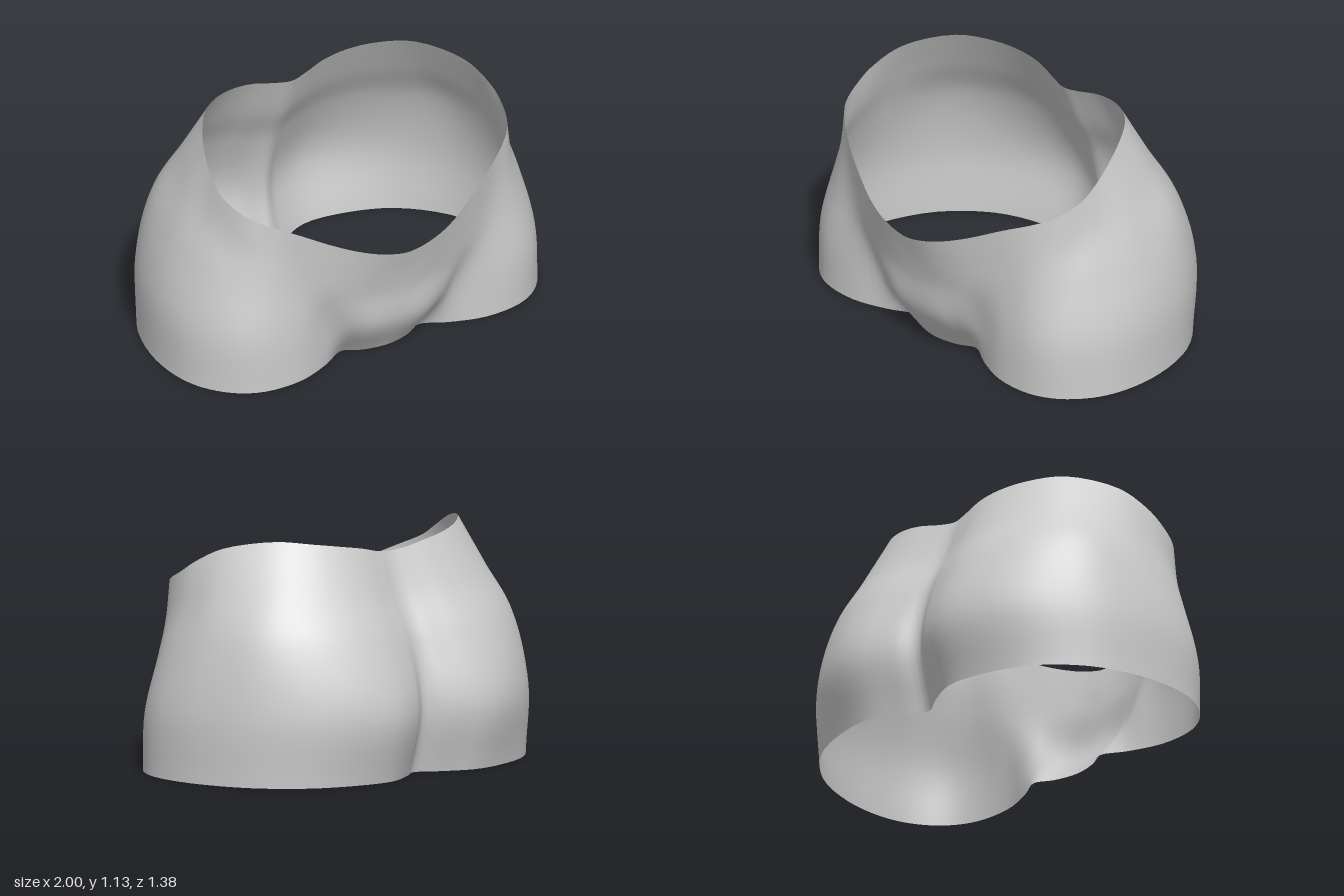
import * as THREE from 'three';

// Each section runs [x, z] from front centre round the left side to back centre.
const hem = [[0, .50], [.13, .475], [.22, .43], [.34, .49], [.52, .55], [.72, .54], [.85, .47], [.95, .34],
  [.995, .18], [.985, -.05], [.89, -.31], [.70, -.51], [.47, -.605], [.27, -.625], [.10, -.55], [0, -.49]];
const thigh = [[0, .605], [.15, .60], [.25, .565], [.355, .525], [.53, .548], [.72, .535], [.84, .47], [.93, .35],
  [.98, .20], [.983, -.02], [.90, -.30], [.72, -.52], [.49, -.655], [.29, -.69], [.10, -.625], [0, -.555]];
const hip = [[0, .63], [.15, .625], [.28, .605], [.39, .575], [.54, .537], [.69, .50], [.79, .43], [.865, .32],
  [.905, .17], [.905, -.02], [.83, -.28], [.67, -.455], [.46, -.56], [.28, -.58], [.10, -.535], [0, -.50]];
const belly = [[0, .655], [.15, .655], [.27, .635], [.385, .60], [.54, .54], [.685, .475], [.765, .40], [.815, .29],
  [.835, .17], [.825, .00], [.71, -.235], [.565, -.37], [.39, -.445], [.24, -.455], [.10, -.425], [0, -.40]];
const waist = [[0, .69], [.14, .69], [.26, .665], [.38, .62], [.54, .55], [.68, .46], [.75, .39], [.79, .27],
  [.785, .18], [.74, .04], [.60, -.17], [.46, -.285], [.32, -.34], [.20, -.35], [.09, -.335], [0, -.32]];
// Height of the waist edge above each section point
const rimHeight = [.61, .64, .68, .73, .81, .87, .91, .965, 1.02, 1.09, 1.13, 1.115, 1.095, 1.075, 1.05, 1.04];

const AROUND = 120, UP = 28;

// Mirrors half a section into a smooth closed loop at a fraction of the rim height.
function sectionLoop(half, level) {
  const left = half.map(([x, z], i) => new THREE.Vector3(x, rimHeight[i] * level, z));
  const right = left.slice(1, -1).reverse().map(p => new THREE.Vector3(-p.x, p.y, p.z));
  const curve = new THREE.CatmullRomCurve3([...left, ...right], true);
  return Array.from({ length: AROUND }, (_, i) => curve.getPoint(i / AROUND));
}

function shellGeometry() {
  const loops = [sectionLoop(hem, 0), sectionLoop(thigh, .3), sectionLoop(hip, .6),
    sectionLoop(belly, .8), sectionLoop(waist, 1)];
  const columns = Array.from({ length: AROUND }, (_, i) =>
    new THREE.CatmullRomCurve3(loops.map(loop => loop[i])).getPoints(UP));

  const positions = [], index = [];
  for (let j = 0; j <= UP; j++) {
    for (let i = 0; i < AROUND; i++) {
      const p = columns[i][j];
      positions.push(p.x, Math.max(0, p.y), p.z);
      if (j === UP) continue;
      const next = (i + 1) % AROUND;
      const a = j * AROUND + i, b = j * AROUND + next;
      index.push(a, b, b + AROUND, a, b + AROUND, a + AROUND);
    }
  }
  const geometry = new THREE.BufferGeometry();
  geometry.setAttribute('position', new THREE.Float32BufferAttribute(positions, 3));
  geometry.setIndex(index);
  geometry.computeVertexNormals();
  return geometry;
}

export function createModel() {
  const group = new THREE.Group();
  group.name = 'hipShell';
  // Open-ended shell with a sloping waist and a flat hem
  const material = new THREE.MeshStandardMaterial({ color: 0xcccccc, side: THREE.DoubleSide });
  const shell = new THREE.Mesh(shellGeometry(), material);
  shell.name = 'pelvisShell';
  group.add(shell);
  return group;
}
